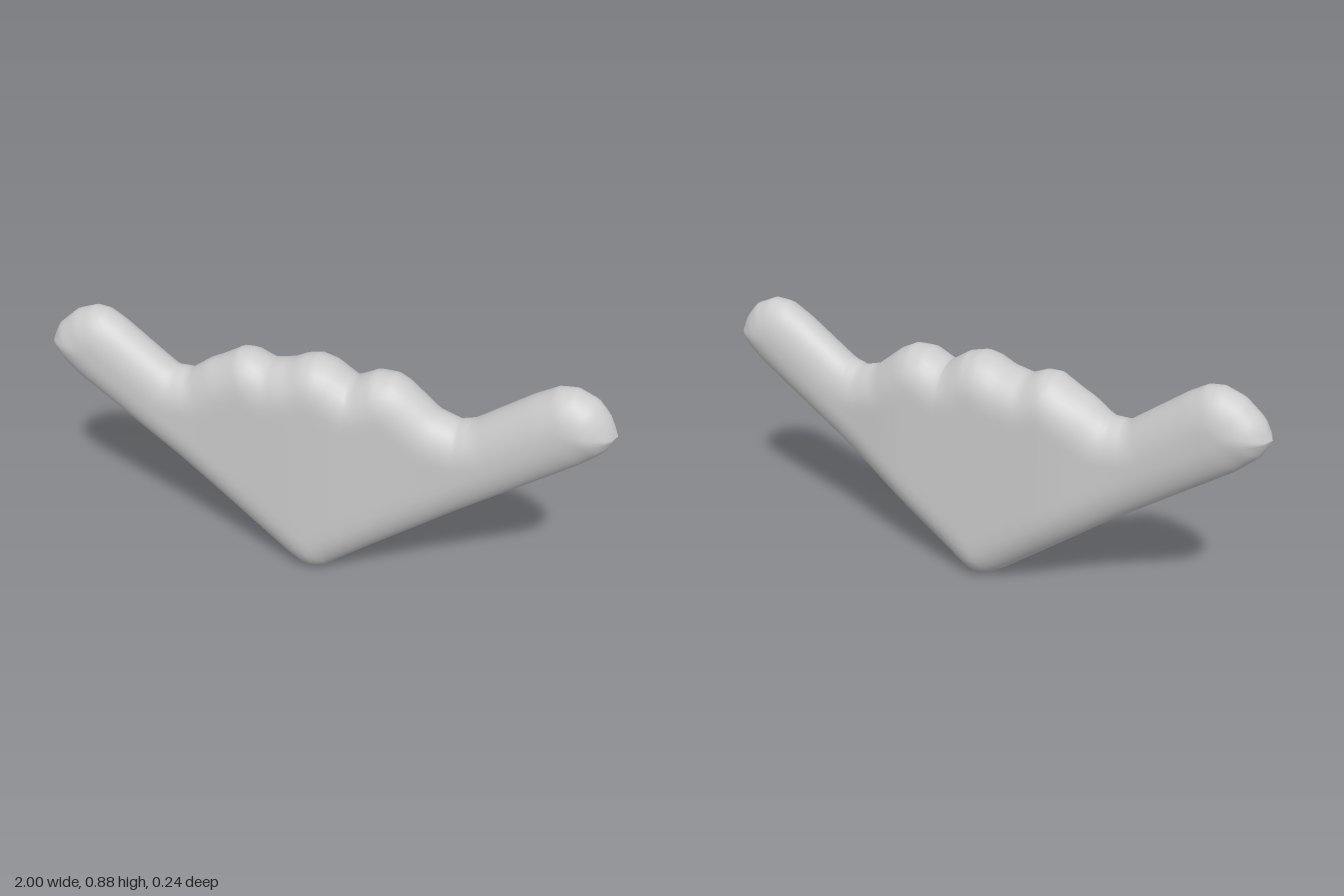
import * as THREE from 'three';

// Upper and lower silhouette as [x, y]
const TOP = [
  [-1, .74], [-.97, .8], [-.9, .86], [-.83, .885], [-.78, .88], [-.72, .845], [-.53, .705], [-.47, .705],
  [-.4, .755], [-.35, .78], [-.28, .82], [-.23, .82], [-.17, .795], [-.1, .81], [-.05, .835], [0, .845],
  [.06, .83], [.13, .785], [.2, .82], [.27, .82], [.32, .795], [.42, .715], [.49, .695], [.54, .71],
  [.72, .835], [.8, .88], [.86, .885], [.93, .855], [.97, .81], [1, .745],
];
const BOTTOM = [
  [-1, .74], [-.97, .68], [-.9, .615], [-.5, .34], [-.1, .04], [-.05, .01], [0, 0], [.05, .015],
  [.12, .07], [.2, .13], [.5, .35], [.9, .63], [.97, .69], [1, .745],
];

// Height of a silhouette line at x
function heightAt(line, x) {
  let i = 1;
  while (i < line.length - 1 && line[i][0] < x) i++;
  const [x0, y0] = line[i - 1], [x1, y1] = line[i];
  return y0 + (y1 - y0) * (x - x0) / (x1 - x0);
}

// Shortest distance from a point to a silhouette line
function distanceTo(line, x, y) {
  let best = Infinity;
  for (let i = 1; i < line.length; i++) {
    const [x0, y0] = line[i - 1], dx = line[i][0] - x0, dy = line[i][1] - y0;
    const t = THREE.MathUtils.clamp(((x - x0) * dx + (y - y0) * dy) / (dx * dx + dy * dy), 0, 1);
    best = Math.min(best, Math.hypot(x - x0 - t * dx, y - y0 - t * dy));
  }
  return best;
}

// Half thickness: rounded rim, fuller in the middle than along the arms
function depthAt(x, y, front) {
  const d = Math.min(distanceTo(TOP, x, y), distanceTo(BOTTOM, x, y));
  const u = 1 - Math.min(d / 0.13, 1);
  const full = front
    ? 0.1 + 0.017 * Math.exp(-((x / 0.3) ** 2))
    : 0.09 + 0.033 * (1 - THREE.MathUtils.smoothstep(Math.abs(x), 0.25, 0.6));
  return full * Math.sqrt(1 - u * u);
}

// Closed rings, one per x station, skinned from end to end
function bodyGeometry(ringSize) {
  const knots = [...new Set([...TOP, ...BOTTOM].map((p) => p[0]))].sort((a, b) => a - b);
  const stations = [knots[0]];
  for (let k = 1; k < knots.length; k++) {
    const span = knots[k] - knots[k - 1];
    const steps = Math.max(1, Math.ceil(span / 0.02));
    for (let s = 1; s <= steps; s++) stations.push(knots[k - 1] + span * s / steps);
  }
  const positions = [], index = [];
  stations.forEach((x, i) => {
    const top = heightAt(TOP, x), bottom = heightAt(BOTTOM, x);
    for (let j = 0; j < ringSize; j++) {
      const a = (j / ringSize) * Math.PI * 2;
      const y = (top + bottom) / 2 + (top - bottom) / 2 * Math.cos(a);
      const front = j < ringSize / 2;
      positions.push(x, y, (front ? 1 : -1) * depthAt(x, y, front));
      if (i === 0) continue;
      const n = (j + 1) % ringSize, p = (i - 1) * ringSize, q = i * ringSize;
      index.push(p + j, p + n, q + n, p + j, q + n, q + j);
    }
  });
  const geometry = new THREE.BufferGeometry();
  geometry.setAttribute('position', new THREE.Float32BufferAttribute(positions, 3));
  geometry.setIndex(index);
  geometry.computeVertexNormals();
  return geometry;
}

export function createModel() {
  const group = new THREE.Group();
  group.name = 'vShapedPillow';
  const body = new THREE.Mesh(bodyGeometry(48), new THREE.MeshStandardMaterial({ color: 0xcccccc }));
  body.name = 'body';
  group.add(body);
  return group;
}
